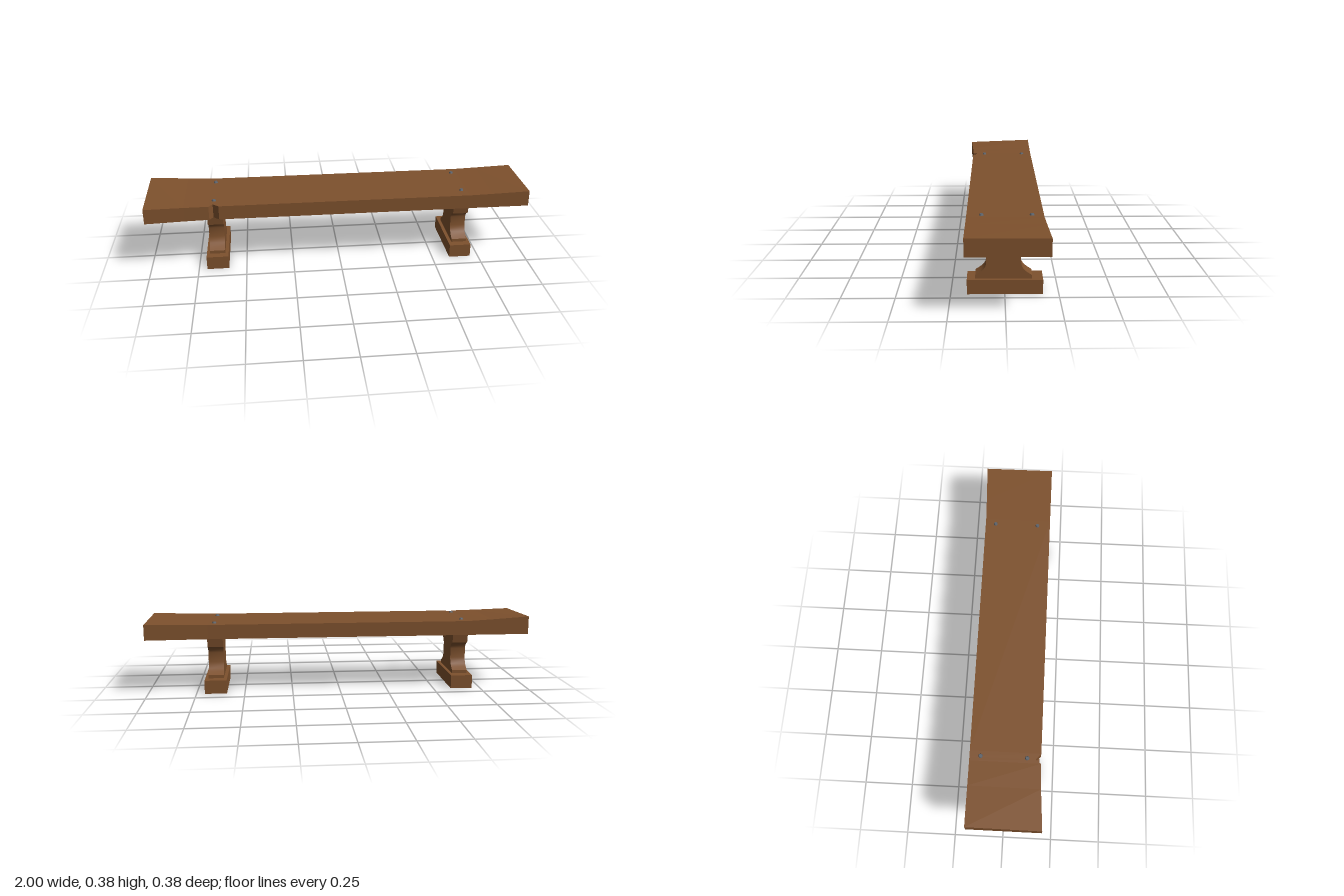
import * as THREE from 'three';
import { toCreasedNormals } from 'three/addons/utils/BufferGeometryUtils.js';

const wood = new THREE.MeshStandardMaterial({ color: 0x7e512d });
wood.name = 'wood';
const iron = new THREE.MeshStandardMaterial({ color: 0x5c626a });
iron.name = 'iron';

function addMesh(parent, name, geometry, material, x = 0, y = 0, z = 0) {
  const mesh = new THREE.Mesh(geometry, material);
  mesh.name = name;
  mesh.position.set(x, y, z);
  parent.add(mesh);
  return mesh;
}

// Seat plank: rectangular sections along x, with warped ends and a notch in the front edge
function plankGeometry() {
  const bottom = 0.29;
  // x, front z, back z, front top y, back top y
  const sections = [
    [-1, 0.193, -0.18, 0.37, 0.384],
    [-0.8, 0.18, -0.18, 0.366, 0.371],
    [-0.675, 0.175, -0.18, 0.364, 0.364],
    [-0.655, 0.148, -0.18, 0.364, 0.364],
    [-0.625, 0.175, -0.18, 0.364, 0.364],
    [0.68, 0.175, -0.18, 0.364, 0.364],
    [0.8, 0.175, -0.184, 0.367, 0.366],
    [1, 0.175, -0.192, 0.373, 0.37],
  ].map(([x, zf, zb, yf, yb]) => [
    [x, bottom, zf], [x, bottom, zb], [x, yb, zb], [x, yf, zf],
  ]);
  const positions = [];
  const quad = (a, b, c, d) => positions.push(...a, ...b, ...c, ...a, ...c, ...d);
  for (let i = 0; i < sections.length - 1; i++) {
    const s = sections[i], t = sections[i + 1];
    for (let j = 0; j < 4; j++) {
      const k = (j + 1) % 4;
      quad(s[j], s[k], t[k], t[j]);
    }
  }
  const first = sections[0], last = sections[sections.length - 1];
  quad(first[3], first[2], first[1], first[0]);
  quad(...last);
  const geometry = new THREE.BufferGeometry();
  geometry.setAttribute('position', new THREE.Float32BufferAttribute(positions, 3));
  geometry.computeVertexNormals();
  return geometry;
}

// Leg post: mirrored waisted profile (half width, height) extruded across its thickness
function postGeometry(thickness) {
  const half = [
    [0.131, 0.07], [0.131, 0.087], [0.108, 0.102], [0.094, 0.114], [0.084, 0.13],
    [0.08, 0.147], [0.08, 0.197], [0.084, 0.21], [0.093, 0.222], [0.105, 0.231],
    [0.121, 0.236], [0.131, 0.29],
  ];
  const outline = [...half, ...half.map(([w, y]) => [-w, y]).reverse()];
  const shape = new THREE.Shape(outline.map(([w, y]) => new THREE.Vector2(w, y)));
  const geometry = new THREE.ExtrudeGeometry(shape, { depth: thickness, bevelEnabled: false });
  geometry.translate(0, 0, -thickness / 2);
  geometry.rotateY(-Math.PI / 2);
  return toCreasedNormals(geometry, 0.5);
}

export function createModel() {
  const bench = new THREE.Group();
  bench.name = 'bench';
  addMesh(bench, 'seatPlank', plankGeometry(), wood);

  const post = postGeometry(0.08);
  const foot = new THREE.BoxGeometry(0.114, 0.07, 0.352);
  const nailHead = new THREE.CylinderGeometry(0.008, 0.013, 0.012, 8);

  for (const [side, x] of [['left', 0.65], ['right', -0.65]]) {
    // Leg with its foot block
    const leg = new THREE.Group();
    leg.name = side + 'Leg';
    leg.position.x = x;
    addMesh(leg, side + 'Post', post, wood, 0, 0, 0.005);
    addMesh(leg, side + 'Foot', foot, wood, 0, 0.035, -0.001);
    bench.add(leg);
    // Nails through the seat into the leg
    for (const [end, z] of [['Front', 0.106], ['Back', -0.125]]) {
      addMesh(bench, side + end + 'Nail', nailHead, iron, x, 0.366, z);
    }
  }
  return bench;
}
